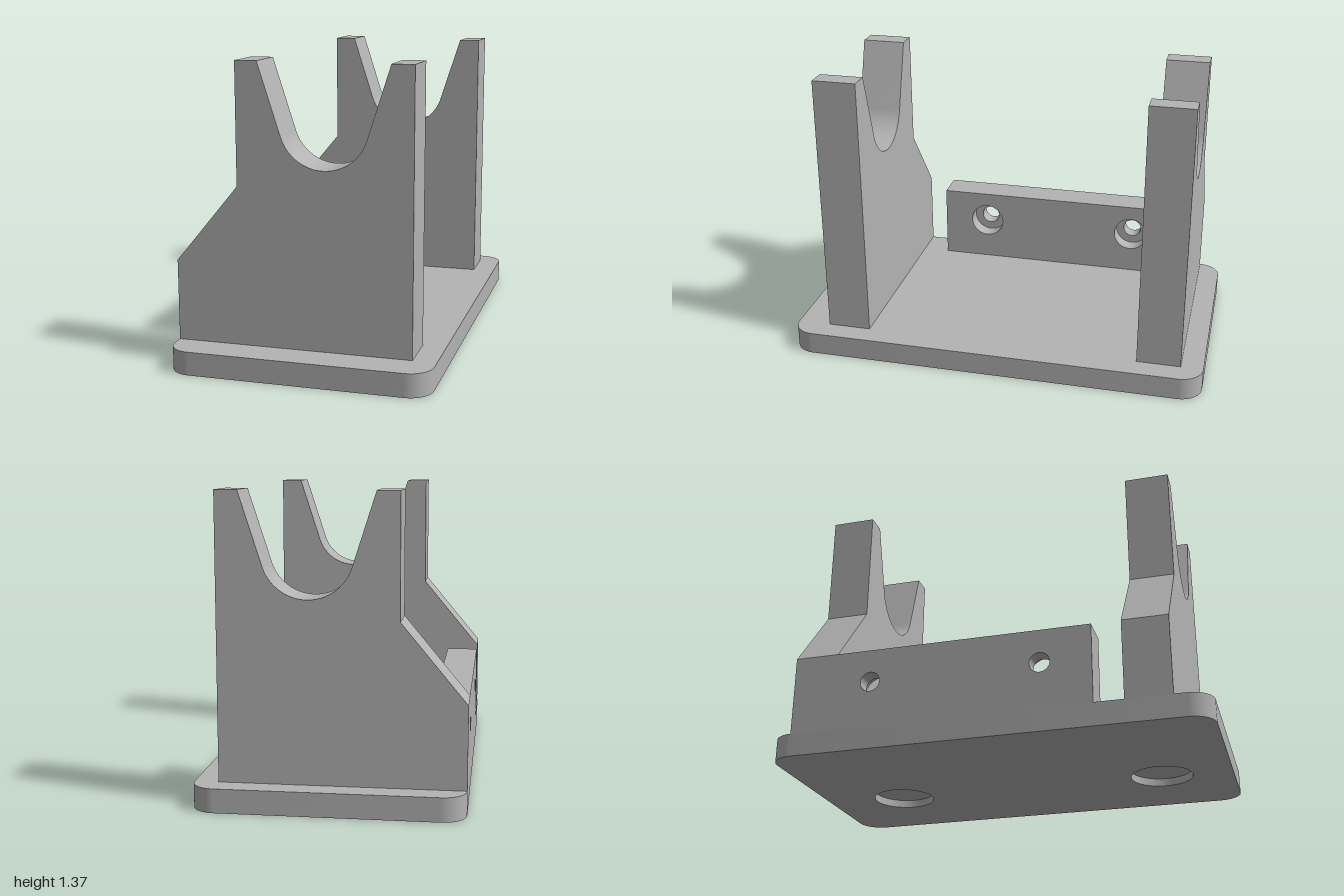
import * as THREE from 'three';
import { toCreasedNormals } from 'three/addons/utils/BufferGeometryUtils.js';

const HALF_X = 0.592, HALF_Z = 1, BASE_TOP = 0.107;

// Straight-sided extrusion with smooth curves and sharp edges
function extrude(shape, depth) {
  const geometry = new THREE.ExtrudeGeometry(shape, { depth, bevelEnabled: false, curveSegments: 24 });
  return toCreasedNormals(geometry, 0.5);
}

function addHoles(shape, centres, radius) {
  for (const [x, y] of centres) {
    shape.holes.push(new THREE.Path().absarc(x, y, radius, 0, Math.PI * 2, true));
  }
  return shape;
}

// Rounded outline of the base; its y runs along -z
function baseShape() {
  const x = HALF_X, z = HALF_Z, r = 0.107, q = Math.PI / 2;
  const s = new THREE.Shape();
  s.absarc(x - r, z - r, r, 0, q, false);
  s.absarc(-x + r, z - r, r, q, 2 * q, false);
  s.absarc(-x + r, -z + r, r, 2 * q, 3 * q, false);
  s.absarc(x - r, -z + r, r, 3 * q, 4 * q, false);
  s.closePath();
  return s;
}

// Upright profile with a sloped shoulder and a round-bottomed cradle
function uprightShape() {
  const s = new THREE.Shape();
  s.moveTo(-HALF_X, BASE_TOP);
  s.lineTo(0.485, BASE_TOP);
  s.lineTo(0.485, 1.37);
  s.lineTo(0.385, 1.37);
  s.absarc(0.091, 1.11, 0.2, -0.307, -Math.PI + 0.307, true);
  s.lineTo(-0.203, 1.37);
  s.lineTo(-0.303, 1.37);
  s.lineTo(-0.303, 0.823);
  s.lineTo(-HALF_X, 0.475);
  s.closePath();
  return s;
}

// Side wall outline in z and y
function wallShape() {
  const s = new THREE.Shape();
  s.moveTo(-0.687, BASE_TOP);
  s.lineTo(0.5, BASE_TOP);
  s.lineTo(0.5, 0.475);
  s.lineTo(-0.687, 0.475);
  s.closePath();
  return s;
}

export function createModel() {
  const group = new THREE.Group();
  const grey = new THREE.MeshStandardMaterial({ color: 0xb3b3b3 });
  grey.name = 'grey';

  const add = (name, geometry) => {
    const mesh = new THREE.Mesh(geometry, grey);
    mesh.name = name;
    group.add(mesh);
  };

  // Base: a lower layer with two round pockets under a solid layer
  const pocketDepth = 0.036;
  const pockets = addHoles(baseShape(), [[0.14, 0.62], [0.14, -0.67]], 0.145);
  add('basePocketLayer', extrude(pockets, pocketDepth).rotateX(-Math.PI / 2));
  add('basePlate', extrude(baseShape(), BASE_TOP - pocketDepth)
    .rotateX(-Math.PI / 2).translate(0, pocketDepth, 0));

  // Two matching cradle uprights
  for (const [name, z] of [['frontUpright', 0.632], ['backUpright', -0.895]]) {
    add(name, extrude(uprightShape(), 0.208).translate(0, 0, z));
  }

  // Side wall: screw holes outside, wider counterbores inside
  const screws = [[0.267, 0.32], [-0.523, 0.32]];
  const inner = -0.437, step = -0.517;
  add('wallCounterboreLayer', extrude(addHoles(wallShape(), screws, 0.086), inner - step)
    .rotateY(-Math.PI / 2).translate(inner, 0, 0));
  add('wallScrewLayer', extrude(addHoles(wallShape(), screws, 0.046), step + HALF_X)
    .rotateY(-Math.PI / 2).translate(step, 0, 0));

  return group;
}
